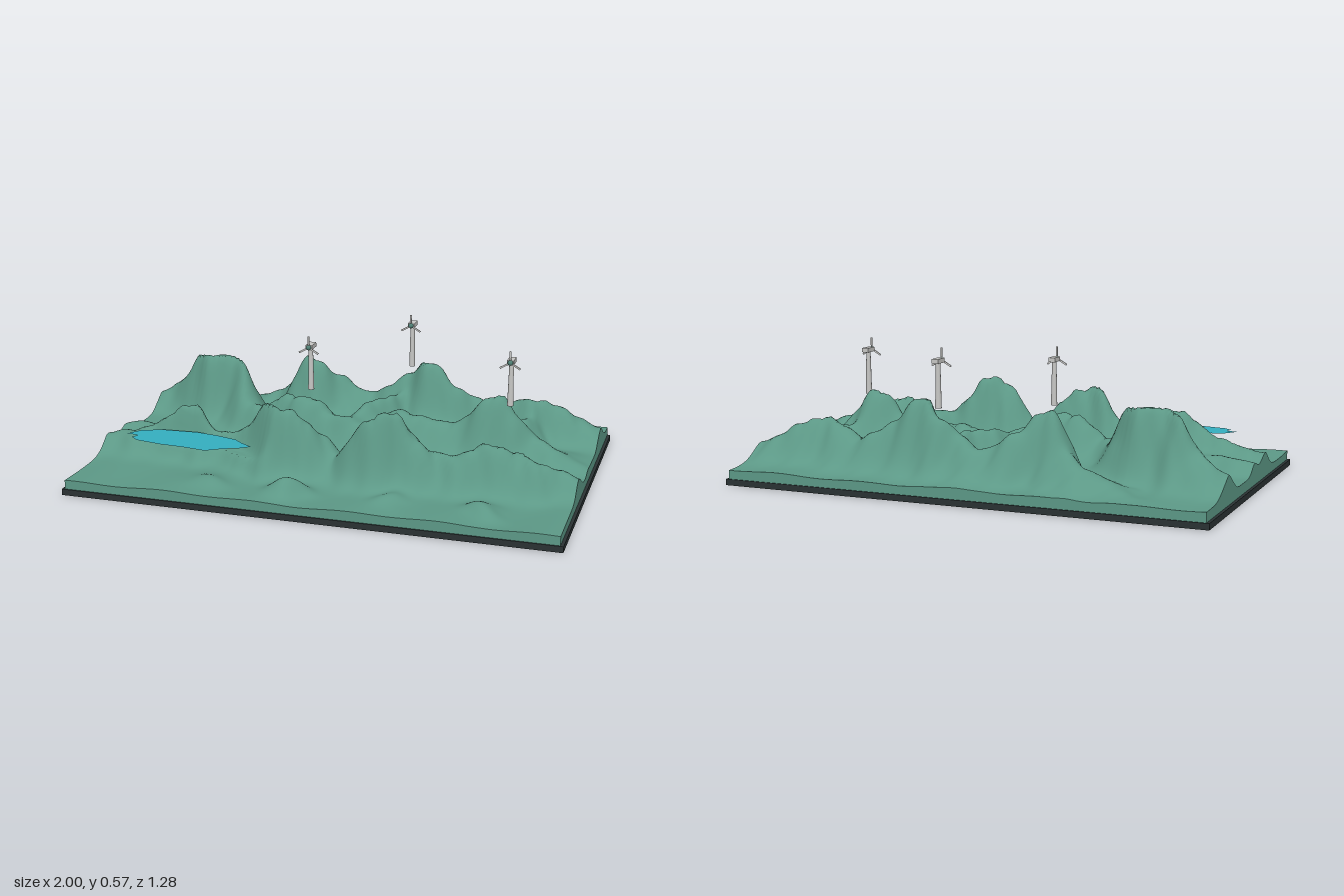
import * as THREE from 'three';

const W = 1.975, D = 1.275, BASE = 0.025, GROUND = 0.062;

const flat = (name, color, side = THREE.FrontSide) =>
  Object.assign(new THREE.MeshStandardMaterial({ color, side }), { name });

// Samples a ridge crest through a few [x, height, z] points
const crest = (...points) =>
  new THREE.CatmullRomCurve3(points.map((p) => new THREE.Vector3(...p))).getSpacedPoints(110);

const RIDGES = [
  // front ridge
  crest([-1.05, 0.11, 0.24], [-0.74, 0.19, 0.215], [-0.61, 0.29, 0.225], [-0.5, 0.19, 0.22], [-0.36, 0.23, 0.26],
    [-0.26, 0.36, 0.3], [-0.1, 0.28, 0.28], [0.05, 0.15, 0.3], [0.19, 0.345, 0.315], [0.28, 0.35, 0.305],
    [0.45, 0.2, 0.28], [0.62, 0.25, 0.27], [0.78, 0.21, 0.25], [1.05, 0.1, 0.21]),
  // diagonal ridge on the left, running into the middle ridge
  crest([-1.05, 0.1, -0.39], [-0.83, 0.23, -0.3], [-0.74, 0.355, -0.26], [-0.6, 0.35, -0.24], [-0.45, 0.18, -0.1],
    [-0.22, 0.27, -0.02], [0.05, 0.14, -0.05], [0.16, 0.18, -0.11], [0.45, 0.18, -0.09], [0.6, 0.325, -0.1],
    [0.75, 0.18, -0.08], [0.95, 0.08, -0.07]),
  // back ridge
  crest([-0.62, 0.1, -0.49], [-0.4, 0.19, -0.45], [-0.28, 0.34, -0.385], [-0.05, 0.18, -0.45], [0.12, 0.27, -0.42],
    [0.22, 0.355, -0.39], [0.48, 0.19, -0.4], [0.74, 0.24, -0.36], [1.05, 0.1, -0.41]),
  // spurs joining the middle and back ridges
  crest([-0.03, 0.15, -0.06], [0.14, 0.21, -0.4]),
  crest([0.6, 0.2, -0.1], [0.74, 0.17, -0.34]),
];

const bell = (d, s) => Math.exp(-(d * d) / (2 * s * s));

// Terrain height at any point
function height(x, z) {
  const wx = x + 0.012 * Math.sin(23 * z + 5 * x) + 0.006 * Math.sin(47 * z - 13 * x);
  const wz = z + 0.01 * Math.sin(19 * x + 4 * z) + 0.007 * Math.sin(41 * x + 1.7);
  let floor = GROUND + 0.06 * bell(z + 0.2, 0.13) * bell(x - 0.05, 0.5)
    + 0.004 * Math.sin(7 * x + 2) * Math.sin(9 * z) + 0.003 * Math.sin(17 * x + 8 * z);
  // low foothills: x, z, height, length along x
  for (const [hx, hz, h, s] of [[-0.11, 0.51, 0.065, 0.05], [0.31, 0.5, 0.025, 0.04], [0.68, 0.5, 0.04, 0.045],
    [-0.42, 0.5, 0.025, 0.05], [-0.87, 0.06, 0.06, 0.14]]) floor += h * bell(wx - hx, s) * bell(wz - hz, 0.045);
  let sum = 0;
  for (const ridge of RIDGES) {
    let best = 0;
    for (const p of ridge) {
      // front slopes are steeper than back slopes
      const dz = wz - p.z, s = dz > 0 ? 0.054 : 0.07;
      best = Math.max(best, (p.y - GROUND) * bell(wx - p.x, 0.045) * bell(dz, s));
    }
    sum += best ** 4;
  }
  const rise = sum ** 0.25;
  // shallow gullies and small crags
  const crags = 0.05 * Math.sin(33 * x + 3 + 9 * z) * Math.sin(27 * z) + 0.03 * Math.sin(71 * x + 6 * Math.sin(11 * z));
  let y = floor * (1 - rise * 1.2) + rise * (1.05 + crags);
  // hollow under the lake
  const r = Math.hypot((x + 0.57) / 0.29, (z - 0.365) / 0.11);
  if (y > 0.13) y = THREE.MathUtils.lerp(0.13, y, THREE.MathUtils.smoothstep(r, 0.9, 1.3));
  return Math.min(y, 0.358);
}

function buildTerrain(material) {
  const group = new THREE.Group();
  group.name = 'terrain';
  const add = (geo, name) => {
    const mesh = new THREE.Mesh(geo, material);
    mesh.name = name;
    group.add(mesh);
  };
  const top = new THREE.PlaneGeometry(W, D, 170, 110).rotateX(-Math.PI / 2);
  const pos = top.attributes.position;
  for (let i = 0; i < pos.count; i++) pos.setY(i, height(pos.getX(i), pos.getZ(i)));
  top.computeVertexNormals();
  add(top, 'mountains');
  // cut walls on all four sides
  ['frontWall', 'leftWall', 'backWall', 'rightWall'].forEach((name, k) => {
    const [len, off, seg] = k % 2 ? [D, W / 2, 110] : [W, D / 2, 170];
    const wall = new THREE.PlaneGeometry(len, 1, seg, 1).translate(0, 0, off).rotateY(k * Math.PI / 2);
    const p = wall.attributes.position;
    for (let i = 0; i < p.count; i++) p.setY(i, p.getY(i) > 0 ? height(p.getX(i), p.getZ(i)) : BASE);
    add(wall, name);
  });
  return group;
}

function buildTurbine(x, y, z, grey, dark) {
  const turbine = new THREE.Group();
  turbine.name = 'windTurbine';
  const add = (parent, geo, mat, name) => {
    const mesh = new THREE.Mesh(geo, mat);
    mesh.name = name;
    parent.add(mesh);
    return mesh;
  };
  add(turbine, new THREE.CylinderGeometry(0.009, 0.013, 0.18, 12), grey, 'tower').position.y = 0.09;
  add(turbine, new THREE.BoxGeometry(0.028, 0.018, 0.058), grey, 'nacelle').position.set(0, 0.187, 0);
  const rotor = new THREE.Group();
  rotor.name = 'rotor';
  rotor.position.set(0, 0.187, 0.03);
  add(rotor, new THREE.SphereGeometry(0.011, 12, 8), dark, 'hub');
  for (let i = 0; i < 3; i++) {
    const blade = add(rotor, new THREE.BoxGeometry(0.007, 0.042, 0.004).translate(0, 0.027, 0), grey, 'blade');
    blade.rotation.z = (i * Math.PI * 2) / 3;
  }
  turbine.add(rotor);
  turbine.position.set(x, y, z);
  return turbine;
}

export function createModel() {
  const green = flat('mountain green', 0x5c9886);
  const black = flat('base charcoal', 0x2a3233);
  const blue = flat('lake blue', 0x34adbf, THREE.DoubleSide);
  const grey = flat('turbine grey', 0xc6c6c4);
  const dark = flat('hub green', 0x4f7f74);

  const model = new THREE.Group();
  model.name = 'mountainDiorama';

  // base plate
  const base = new THREE.Mesh(new THREE.BoxGeometry(2, BASE, 1.285), black);
  base.name = 'basePlate';
  base.position.y = BASE / 2;
  model.add(base, buildTerrain(green));

  // lake surface
  const shore = [[-0.84, 0.355], [-0.8, 0.3], [-0.72, 0.27], [-0.57, 0.26], [-0.48, 0.275], [-0.39, 0.3],
    [-0.355, 0.33], [-0.3, 0.365], [-0.345, 0.4], [-0.4, 0.42], [-0.46, 0.46], [-0.56, 0.445],
    [-0.66, 0.44], [-0.77, 0.42], [-0.805, 0.39], [-0.79, 0.365]];
  const outline = new THREE.Shape(shore.map(([x, z]) => new THREE.Vector2(x, -z)));
  const lake = new THREE.Mesh(new THREE.ShapeGeometry(outline).rotateX(-Math.PI / 2), blue);
  lake.name = 'lake';
  lake.position.y = 0.18;
  model.add(lake);

  // wind turbines
  for (const [x, y, z] of [[-0.18, 0.31, -0.043], [0.66, 0.312, -0.055], [0.157, 0.332, -0.422]])
    model.add(buildTurbine(x, y, z, grey, dark));

  return model;
}
